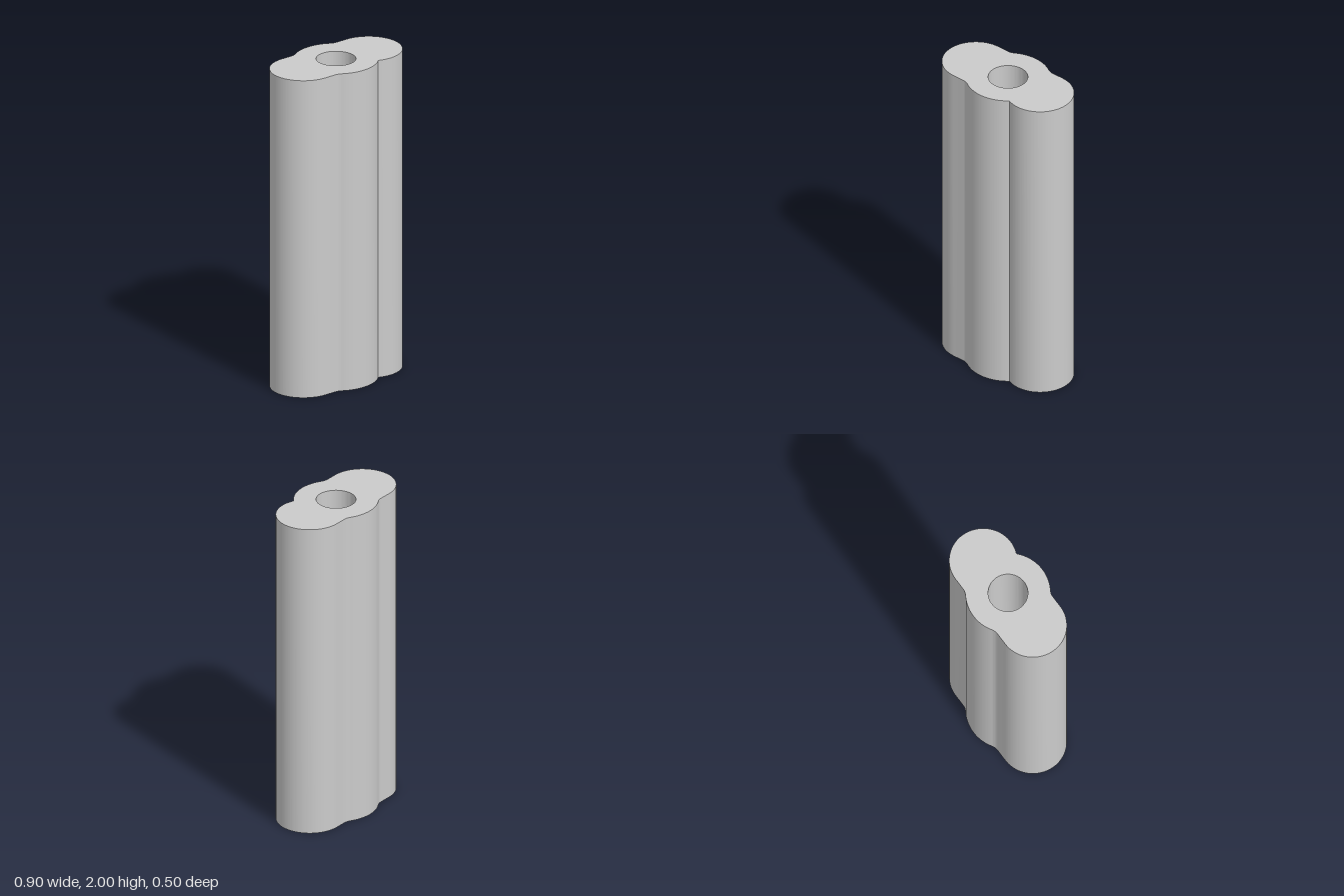
import * as THREE from 'three';
import { toCreasedNormals } from 'three/addons/utils/BufferGeometryUtils.js';

const HEIGHT = 2;
const LOBE_X = 0.25, LOBE_R = 0.2;   // side lobes
const CORE_R = 0.25, BORE_R = 0.117; // middle barrel and its bore
const FILLET_R = 0.08;               // blend between barrel and flats

// Outline in plan, counter-clockwise, with plan y = -z
function outline() {
  const fz = LOBE_R + FILLET_R;
  const fx = Math.sqrt((CORE_R + FILLET_R) ** 2 - fz ** 2);
  const t = Math.atan2(fz, fx);
  // sharp groove where the barrel meets the left lobe at the front
  const gx = (CORE_R ** 2 - LOBE_R ** 2 + LOBE_X ** 2) / (2 * LOBE_X);
  const gy = -Math.sqrt(CORE_R ** 2 - gx ** 2);
  const { PI } = Math;

  const s = new THREE.Shape();
  s.absarc(LOBE_X, 0, LOBE_R, Math.atan2(gy, gx - LOBE_X), PI / 2, false);
  s.absarc(fx, fz, FILLET_R, -PI / 2, t - PI, true);
  s.absarc(0, 0, CORE_R, t, PI - t, false);
  s.absarc(-fx, fz, FILLET_R, -t, -PI / 2, true);
  s.absarc(-LOBE_X, 0, LOBE_R, PI / 2, 1.5 * PI, false);
  s.absarc(-fx, -fz, FILLET_R, PI / 2, t, true);
  s.absarc(0, 0, CORE_R, PI + t, 2 * PI + Math.atan2(gy, gx), false);

  const bore = new THREE.Path();
  bore.absarc(0, 0, BORE_R, 0, 2 * PI, true);
  s.holes.push(bore);
  return s;
}

export function createModel() {
  const group = new THREE.Group();
  group.name = 'lobedSleeve';

  // Straight extrusion stood upright, smooth round the curves and sharp at the rims
  const geometry = new THREE.ExtrudeGeometry(outline(), {
    depth: HEIGHT, bevelEnabled: false, curveSegments: 48,
  });
  geometry.rotateX(-Math.PI / 2);
  const body = new THREE.Mesh(
    toCreasedNormals(geometry, 0.5),
    new THREE.MeshStandardMaterial({ color: 0xcccccc }),
  );
  body.name = 'sleeveBody';
  group.add(body);
  return group;
}
